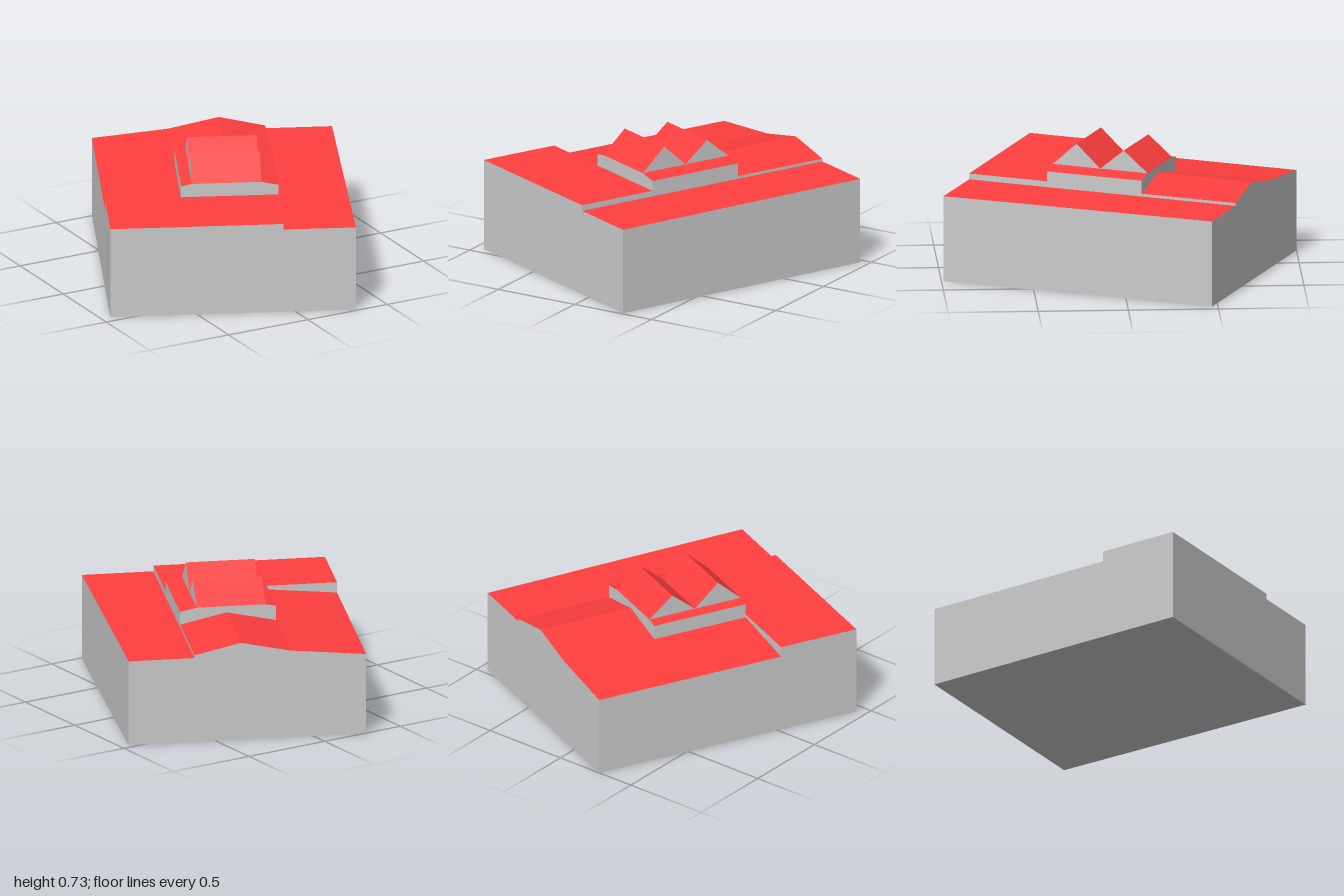
import * as THREE from 'three';

const wallMaterial = new THREE.MeshStandardMaterial({ color: 0xcccccc, flatShading: true });
const roofMaterial = new THREE.MeshStandardMaterial({ color: 0xff3e3e, flatShading: true });

// Plan frame: u runs along the back edge, v runs towards the front edge.
function at(u, v, y) {
  if (u > 1) u += 0.02 * v; // the lower strip widens slightly to the front
  return [-0.275 + 0.916 * u - 0.42 * v, y, -1 + 0.4 * u + 0.907 * v];
}
const alongV = (s, t, y) => at(s, t, y);
const alongU = (s, t, y) => at(t, s, y);

function quadMesh(name, quads, material) {
  const positions = quads.flatMap(([a, b, c, d]) => [a, b, c, a, c, d].flat());
  const geometry = new THREE.BufferGeometry();
  geometry.setAttribute('position', new THREE.Float32BufferAttribute(positions, 3));
  geometry.computeVertexNormals();
  const mesh = new THREE.Mesh(geometry, material);
  mesh.name = name;
  return mesh;
}

// Solid under a roof profile [[s, y], ...], swept from t0 to t1 above base.
function volume(name, profile, t0, t1, base = 0, place = alongV) {
  const roof = [], walls = [];
  for (let i = 0; i < profile.length - 1; i++) {
    const [a, ya] = profile[i], [b, yb] = profile[i + 1];
    roof.push([place(a, t0, ya), place(a, t1, ya), place(b, t1, yb), place(b, t0, yb)]);
    walls.push([place(a, t1, base), place(b, t1, base), place(b, t1, yb), place(a, t1, ya)]);
    walls.push([place(b, t0, base), place(a, t0, base), place(a, t0, ya), place(b, t0, yb)]);
    walls.push([place(a, t0, base), place(b, t0, base), place(b, t1, base), place(a, t1, base)]);
  }
  const endWall = (s, y, p, q) => {
    if (y > base) walls.push([place(s, p, base), place(s, q, base), place(s, q, y), place(s, p, y)]);
  };
  endWall(...profile[0], t0, t1);
  endWall(...profile[profile.length - 1], t1, t0);

  const group = new THREE.Group();
  group.name = name;
  group.add(quadMesh(name + 'Roof', roof, roofMaterial), quadMesh(name + 'Walls', walls, wallMaterial));
  return group;
}

export function createModel() {
  const model = new THREE.Group();
  model.name = 'building';

  const kink = 0.424, ridge = 0.704, step = 0.964; // roof lines across u
  const hallBack = 0.56, hallFront = 1.125, front = 1.59; // lines along v
  const deck = 0.597;

  model.add(
    volume('sideStrip', [[step, 0.487], [1.334, 0.487]], 0, front),
    volume('frontBlock', [[0, 0.52], [step, 0.52]], hallFront, front),
    volume('leanTo', [[0, 0.46], [kink, 0.502]], 0, hallFront),
    volume('rearWing', [[kink, 0.502], [ridge, 0.562], [step, 0.503]], 0, hallBack),
    volume('raisedHall', [[kink, 0.585], [0.483, deck], [0.87, deck], [step, 0.577]], hallBack, hallFront),
  );

  // Pair of gabled skylights across the raised hall
  const middle = (hallBack + hallFront) / 2;
  const gables = [[hallBack, middle, 0.714], [middle, hallFront, 0.726]];
  gables.forEach(([a, b, top], i) => {
    const profile = [[a, deck], [(a + b) / 2, top], [b, deck]];
    model.add(volume(i ? 'frontSkylight' : 'rearSkylight', profile, 0.87, 0.483, deck, alongU));
  });

  return model;
}
